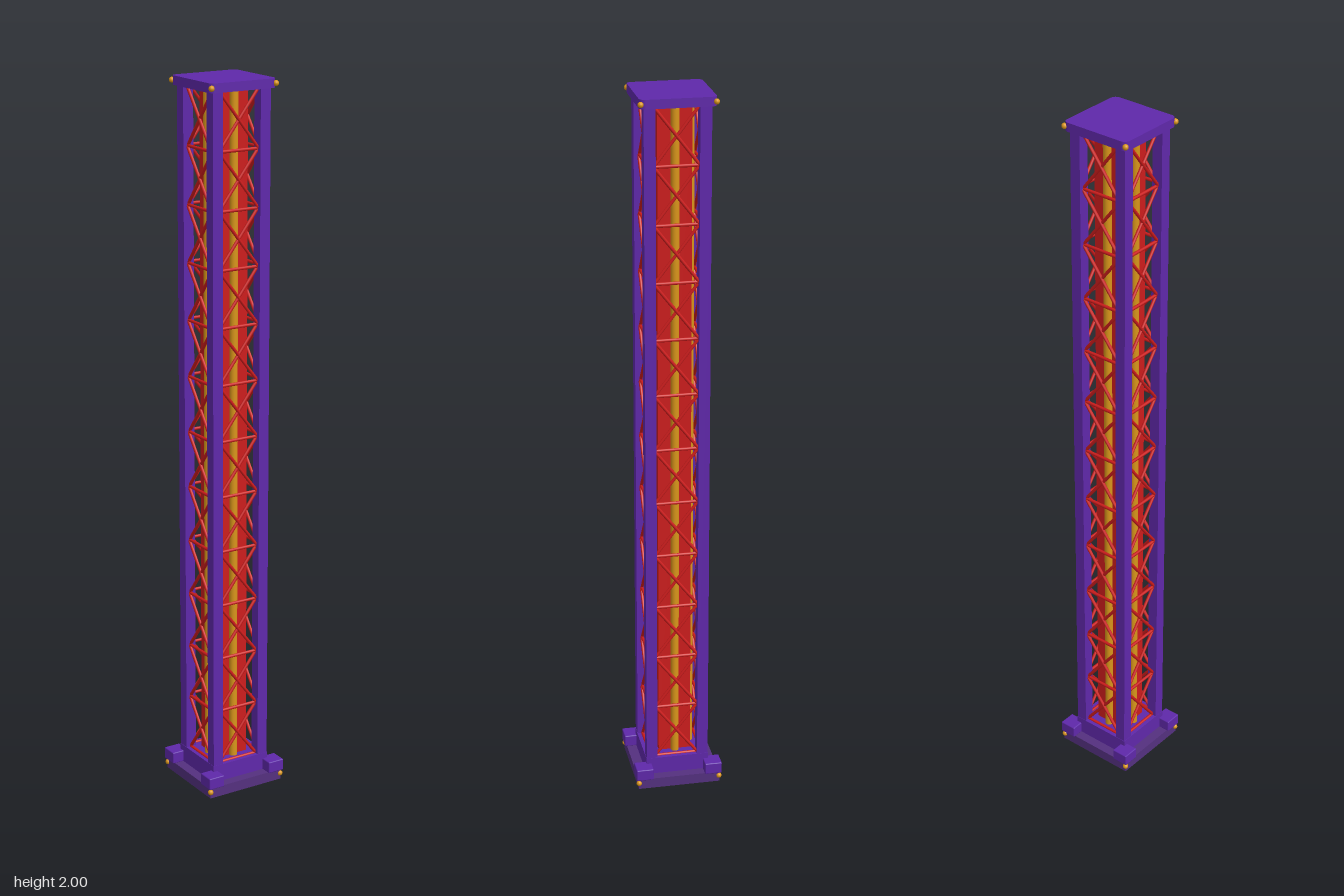
import * as THREE from 'three';
import { RoundedBoxGeometry } from 'three/addons/geometries/RoundedBoxGeometry.js';

function material(name, color) {
  const m = new THREE.MeshStandardMaterial({ color });
  m.name = name;
  return m;
}

export function createModel() {
  const purple = material('purple', 0x5f28aa);
  const dullPurple = material('dull purple', 0x54307f);
  const red = material('red', 0xcc1c1c);
  const gold = material('gold', 0xd9951a);

  const tower = new THREE.Group();
  tower.name = 'latticeTower';

  function add(name, geometry, mat, x, y, z, parent = tower) {
    const mesh = new THREE.Mesh(geometry, mat);
    mesh.name = name;
    mesh.position.set(x, y, z);
    parent.add(mesh);
    return mesh;
  }
  // square block given by its width (x and z), bottom and top
  function block(name, width, y0, y1, mat, x = 0, z = 0) {
    return add(name, new THREE.BoxGeometry(width, y1 - y0, width), mat, x, (y0 + y1) / 2, z);
  }

  const bottom = 0.08, top = 1.975, bays = 12;
  const step = (top - bottom) / bays;

  // Base: foot plate and plinth
  block('footPlate', 0.236, 0, 0.03, dullPurple);
  block('plinth', 0.18, 0.03, bottom, purple);

  // Cap with rounded corners
  const capShape = new THREE.Shape();
  const h = 0.101, r = 0.016;
  capShape.absarc(h - r, h - r, r, 0, Math.PI / 2);
  capShape.absarc(-h + r, h - r, r, Math.PI / 2, Math.PI);
  capShape.absarc(-h + r, -h + r, r, Math.PI, Math.PI * 1.5);
  capShape.absarc(h - r, -h + r, r, Math.PI * 1.5, Math.PI * 2);
  const capGeometry = new THREE.ExtrudeGeometry(capShape, {
    depth: 2 - top, bevelEnabled: false, curveSegments: 5,
  });
  capGeometry.rotateX(-Math.PI / 2);
  add('cap', capGeometry, purple, 0, top, 0);

  // Corner posts, corner blocks and gold studs
  const stud = new THREE.SphereGeometry(0.008, 12, 8);
  for (const sx of [-1, 1]) {
    for (const sz of [-1, 1]) {
      block('cornerPost', 0.031, 0.06, top, purple, sx * 0.0735, sz * 0.0735);
      add('cornerBlock', new RoundedBoxGeometry(0.049, 0.034, 0.049, 2, 0.003), purple,
        sx * 0.0995, 0.046, sz * 0.0995);
      add('capStud', stud, gold, sx * 0.0985, 1.987, sz * 0.0985);
      add('baseStud', stud, gold, sx * 0.1165, 0.018, sz * 0.1165);
    }
  }

  // Inner column
  block('core', 0.092, bottom, top, red);

  // Each side: gold rod on the core, rungs and crossed braces
  const rod = new THREE.CylinderGeometry(0.0115, 0.0115, top - bottom, 16);
  const span = 0.122;
  const rung = new THREE.CylinderGeometry(0.0045, 0.0045, span, 8);
  const brace = new THREE.CylinderGeometry(0.0045, 0.0045, Math.hypot(span, step), 8);
  const tilt = Math.atan2(span, step);
  for (let i = 0; i < 4; i++) {
    const side = new THREE.Group();
    side.name = 'latticeSide';
    side.rotation.y = (i * Math.PI) / 2;
    tower.add(side);
    add('coreRod', rod, gold, 0, (bottom + top) / 2, 0.05, side);
    for (let k = 0; k <= bays; k++) {
      add('rung', rung, red, 0, bottom + k * step, 0.074, side).rotation.z = Math.PI / 2;
      if (k === bays) continue;
      for (const s of [-1, 1]) {
        add('brace', brace, red, 0, bottom + (k + 0.5) * step, 0.074 + s * 0.001, side)
          .rotation.z = s * tilt;
      }
    }
  }
  return tower;
}
